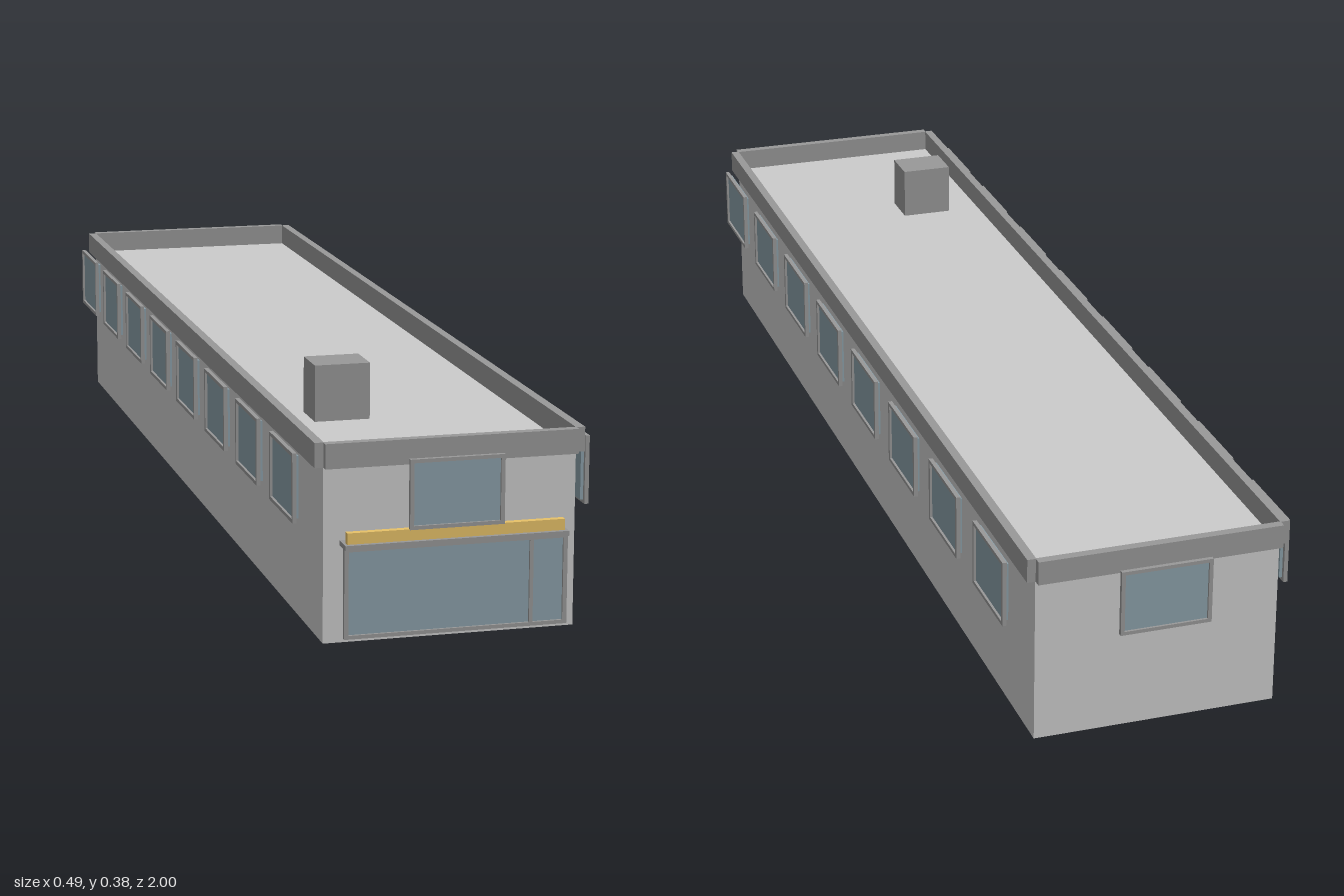
import * as THREE from 'three';

const wallMat = new THREE.MeshStandardMaterial({ color: 0xcccccc });
const trimMat = new THREE.MeshStandardMaterial({ color: 0x999999 });
const glassMat = new THREE.MeshStandardMaterial({ color: 0x8ba0aa });
const signMat = new THREE.MeshStandardMaterial({ color: 0xe8c268 });

// Box given by its minimum and maximum on each axis
function block(name, mat, [x0, x1], [y0, y1], [z0, z1]) {
  const mesh = new THREE.Mesh(new THREE.BoxGeometry(x1 - x0, y1 - y0, z1 - z0), mat);
  mesh.position.set((x0 + x1) / 2, (y0 + y1) / 2, (z0 + z1) / 2);
  mesh.name = name;
  return mesh;
}

function rectPath(Type, x0, x1, y0, y1) {
  return new Type([
    new THREE.Vector2(x0, y0), new THREE.Vector2(x1, y0),
    new THREE.Vector2(x1, y1), new THREE.Vector2(x0, y1),
  ]);
}

// Framed window facing +z, its outer face at z = 0; each pane is [x0, x1]
function framedWindow(name, width, height, border, panes) {
  const group = new THREE.Group();
  group.name = name;
  const w = width / 2, h = height / 2, hy = h - border;
  const shape = rectPath(THREE.Shape, -w, w, -h, h);
  for (const [x0, x1] of panes) {
    shape.holes.push(rectPath(THREE.Path, x0, x1, -hy, hy));
    group.add(block('pane', glassMat, [x0, x1], [-hy, hy], [-0.012, -0.004]));
  }
  const geo = new THREE.ExtrudeGeometry(shape, { depth: 0.007, bevelEnabled: false });
  geo.translate(0, 0, -0.007);
  const frame = new THREE.Mesh(geo, trimMat);
  frame.name = 'frame';
  group.add(frame);
  return group;
}

export function createModel() {
  const model = new THREE.Group();
  model.name = 'longBuilding';

  // Main body
  model.add(block('body', wallMat, [-0.205, 0.205], [0, 0.284], [-0.96, 0.955]));

  // Parapet, open at the outer corners
  for (const s of [-1, 1]) {
    const xs = s > 0 ? [0.204, 0.219] : [-0.219, -0.204];
    model.add(block('sideParapet', trimMat, xs, [0.283, 0.323], [-0.962, 0.957]));
  }
  model.add(block('frontParapet', trimMat, [-0.205, 0.205], [0.283, 0.323], [0.954, 0.969]));
  model.add(block('backParapet', trimMat, [-0.205, 0.205], [0.283, 0.323], [-0.975, -0.96]));

  // Roof vent
  model.add(block('roofVent', trimMat, [-0.143, -0.05], [0.283, 0.378], [0.592, 0.665]));

  // Small windows along both sides and one at each end
  const smallWindow = (name, x, z, turn) => {
    const win = framedWindow(name, 0.153, 0.112, 0.006, [[-0.07, 0.07]]);
    win.position.set(x, 0.241, z);
    win.rotation.y = turn;
    model.add(win);
  };
  for (let i = 0; i < 8; i++) {
    const z = 0.836 - i * 0.239;
    smallWindow('leftWindow', 0.243, z, Math.PI / 2);
    smallWindow('rightWindow', -0.243, z, -Math.PI / 2);
  }
  smallWindow('frontWindow', 0, 0.995, 0);
  smallWindow('backWindow', 0, -1, Math.PI);

  // Shop front with a wide and a narrow pane, ledge and sign band
  const shop = framedWindow('shopFront', 0.362, 0.146, 0.006, [[-0.174, 0.119], [0.125, 0.174]]);
  shop.position.set(0, 0.089, 0.994);
  model.add(shop);
  model.add(block('ledge', trimMat, [-0.181, 0.181], [0.16, 0.168], [0.964, 1]));
  model.add(block('signBand', signMat, [-0.176, 0.176], [0.168, 0.186], [0.982, 0.993]));

  return model;
}
